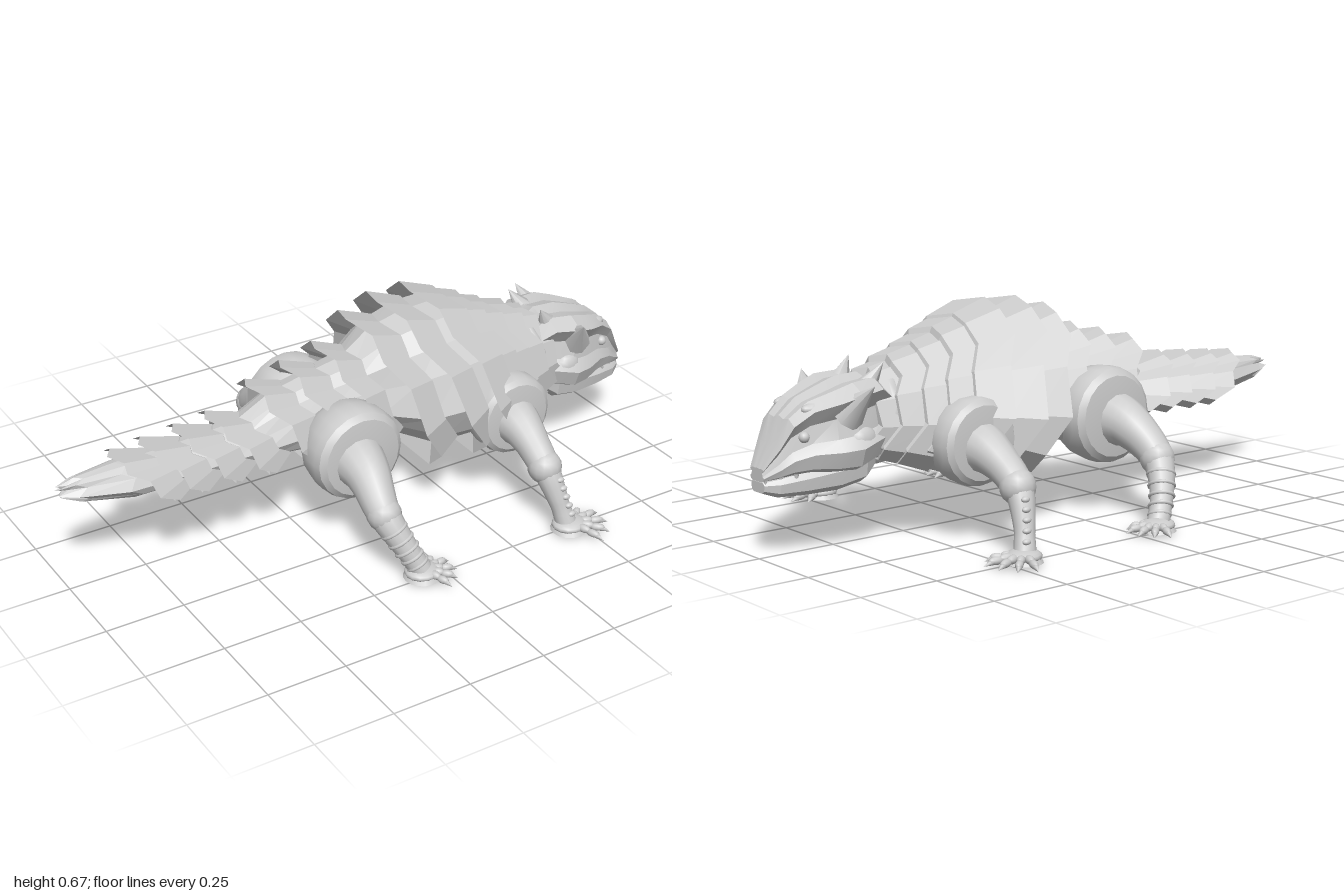
import * as THREE from 'three';
import { mergeVertices, mergeGeometries, toCreasedNormals } from 'three/addons/utils/BufferGeometryUtils.js';

const V = (x, y, z) => new THREE.Vector3(x, y, z);

// Half outlines from top centre to the bottom: [height fraction, width fraction, jag along x]
const PLATE = [[1, 0, -0.012], [0.96, 0.36, 0.012], [0.83, 0.6, -0.016], [0.66, 0.8, 0.014],
  [0.36, 1, -0.02], [0.13, 0.88, 0.012], [0, 0.64, -0.012]];
const SKULL = [[1, 0], [0.95, 0.3], [0.98, 0.62], [0.86, 0.98], [0.66, 0.74], [0.42, 0.82], [0.28, 1], [0.08, 0.88], [0, 0.6]];
const JAW = [[1, 0], [1, 0.8], [0.75, 1], [0.25, 0.95], [0, 0.65]];

// Closed slanted cross-section, scaled by k about its centre and moved by dx
function section([xt, yt, xb, yb, w], outline, k = 1, dx = 0) {
  const point = ([h, s, jag = 0], side) => {
    const f = 0.5 + (h - 0.5) * k;
    return V(xb + (xt - xb) * f + dx + jag * k, yb + (yt - yb) * f, side * s * w * k);
  };
  return [
    ...outline.map(o => point(o, 1)),
    ...outline.slice(1).reverse().map(o => point(o, -1)),
  ];
}

// Skin a row of cross-sections running toward +x and close both ends
function loft(rings, crease = 0) {
  const n = rings[0].length, pos = [];
  const tri = (...ps) => ps.forEach(p => pos.push(p.x, p.y, p.z));
  const centre = r => r.reduce((a, p) => a.add(p), V(0, 0, 0)).divideScalar(n);
  const first = rings[0], last = rings[rings.length - 1];
  const c0 = centre(first), c1 = centre(last);
  for (let j = 0; j < n; j++) {
    const q = (j + 1) % n;
    for (let i = 0; i + 1 < rings.length; i++) {
      const a = rings[i], b = rings[i + 1];
      tri(a[j], a[q], b[j]);
      tri(a[q], b[q], b[j]);
    }
    tri(c0, first[q], first[j]);
    tri(c1, last[j], last[q]);
  }
  const g = new THREE.BufferGeometry();
  g.setAttribute('position', new THREE.Float32BufferAttribute(pos, 3));
  g.computeVertexNormals();
  return crease ? toCreasedNormals(g, crease) : g;
}

// Smooth tube through points with a changing radius
function limb(points, radii) {
  const curve = new THREE.CatmullRomCurve3(points), steps = 24, sides = 14;
  const g = new THREE.TubeGeometry(curve, steps, 1, sides);
  const p = g.attributes.position, v = V(0, 0, 0);
  for (let i = 0; i <= steps; i++) {
    const c = curve.getPointAt(i / steps);
    const t = i / steps * (radii.length - 1), k = Math.min(Math.floor(t), radii.length - 2);
    const r = THREE.MathUtils.lerp(radii[k], radii[k + 1], t - k);
    for (let j = 0; j <= sides; j++) {
      const id = i * (sides + 1) + j;
      v.fromBufferAttribute(p, id).sub(c).multiplyScalar(r).add(c);
      p.setXYZ(id, v.x, v.y, v.z);
    }
  }
  g.deleteAttribute('normal');
  g.deleteAttribute('uv');
  const m = mergeVertices(g, 1e-5);
  m.computeVertexNormals();
  return m;
}

const ball = (c, rx, ry = rx, rz = rx) =>
  new THREE.SphereGeometry(1, 14, 10).scale(rx, ry, rz).translate(c.x, c.y, c.z);

// Cone from a base point to a tip
function spike(from, to, r, sides = 8) {
  const d = to.clone().sub(from), len = d.length();
  const q = new THREE.Quaternion().setFromUnitVectors(V(0, 1, 0), d.normalize());
  return new THREE.ConeGeometry(r, len, sides).translate(0, len / 2, 0).applyQuaternion(q).translate(from.x, from.y, from.z);
}

// Torus around a limb direction
function band(c, dir, r, tube) {
  const q = new THREE.Quaternion().setFromUnitVectors(V(0, 0, 1), dir.clone().normalize());
  return new THREE.TorusGeometry(r, tube, 8, 16).applyQuaternion(q).translate(c.x, c.y, c.z);
}

export function createModel() {
  const model = new THREE.Group();
  const hide = new THREE.MeshStandardMaterial({ color: 0xcccccc });
  hide.name = 'pale grey';
  const add = (name, geometry, parent = model) => {
    const m = new THREE.Mesh(geometry, hide);
    m.name = name;
    parent.add(m);
  };

  // Armour plates, tail to neck: top x, top y, bottom x, bottom y, half width
  const plates = [
    [-0.84, 0.41, -0.67, 0.25, 0.135], [-0.74, 0.42, -0.58, 0.25, 0.14],
    [-0.63, 0.43, -0.47, 0.25, 0.145], [-0.52, 0.44, -0.36, 0.25, 0.16],
    [-0.38, 0.51, -0.22, 0.24, 0.17], [-0.26, 0.54, -0.11, 0.24, 0.18],
    [-0.14, 0.57, 0.01, 0.23, 0.21], [-0.03, 0.64, 0.165, 0.16, 0.28],
    [0.08, 0.67, 0.31, 0.17, 0.325], [0.20, 0.675, 0.42, 0.19, 0.315],
    [0.28, 0.64, 0.48, 0.2, 0.27], [0.36, 0.60, 0.53, 0.21, 0.235],
    [0.45, 0.565, 0.58, 0.23, 0.195], [0.52, 0.53, 0.62, 0.25, 0.165],
  ];
  const armour = new THREE.Group();
  armour.name = 'armour';
  model.add(armour);
  plates.forEach((p, i) => {
    const k = i < 4 ? 0.56 : i < 7 ? 0.66 : 0.74;
    add('armourPlate', loft([
      section(p, PLATE, k, 0.06), section(p, PLATE), section(p, PLATE, k + 0.1, 0.1),
    ]), armour);
  });

  // Inner body running from the tail tip to the neck
  add('body', loft([
    section([-1, 0.36, -0.995, 0.325, 0.018], PLATE),
    section([-0.95, 0.375, -0.94, 0.305, 0.043], PLATE),
    section([-0.82, 0.385, -0.78, 0.28, 0.075], PLATE),
    ...plates.slice(1).map((p, i) => section(p, PLATE, i < 3 ? 0.6 : i < 6 ? 0.7 : 0.8, 0.06)),
    section([0.68, 0.45, 0.7, 0.27, 0.1], PLATE),
  ]));
  [[0.575, 0.13], [0.615, 0.12]].forEach(([x, r]) =>
    add('neckCollar', band(V(x, 0.37, 0), V(1, 0.25, 0), r, 0.022)));

  // Shoulder and hip bowls: flat rounded rim outside, dome inside
  for (const [name, x, y, r, out, inner] of [['shoulder', 0.41, 0.3, 0.132, 0.285, 0.1], ['hip', -0.13, 0.305, 0.15, 0.25, 0.03]])
    for (const s of [1, -1]) {
      const d = out - inner;
      const pts = [[0, 0], [0.5, 0.06], [0.8, 0.22], [0.95, 0.42], [1, 0.62], [1, 0.8], [0.96, 0.9], [0.84, 0.97], [0.5, 1], [0, 1]]
        .map(([a, b]) => new THREE.Vector2(a * r, inner + b * d));
      const g = new THREE.LatheGeometry(pts, 20).rotateX(s * Math.PI / 2).translate(x, y, 0);
      add(name, toCreasedNormals(g, 0.5));
    }

  // Limbs: path, radii, foot centre, toe length
  const limbs = [
    { name: 'frontLeg', path: [[0.41, 0.29, 0.22], [0.41, 0.275, 0.31], [0.41, 0.2, 0.43], [0.425, 0.12, 0.475], [0.445, 0.03, 0.505]],
      radii: [0.09, 0.075, 0.062, 0.053, 0.049, 0.041, 0.035, 0.03, 0.033], foot: [0.455, 0.51], toe: 0.128, turn: 0.3 },
    { name: 'hindLeg', path: [[-0.14, 0.3, 0.18], [-0.145, 0.28, 0.29], [-0.155, 0.2, 0.4], [-0.12, 0.11, 0.46], [-0.08, 0.03, 0.49]],
      radii: [0.1, 0.083, 0.07, 0.06, 0.053, 0.045, 0.039, 0.034, 0.035], foot: [-0.075, 0.49], toe: 0.11, turn: 0.28 },
  ];
  for (const l of limbs) for (const s of [1, -1]) {
    const leg = new THREE.Group();
    leg.name = (s > 0 ? 'near ' : 'far ') + l.name;
    model.add(leg);
    const pts = l.path.map(([x, y, z]) => V(x, y, z * s));
    add('limb', limb(pts, l.radii), leg);
    add('joint', ball(pts[2], 0.054), leg);
    const low = pts[4].clone().sub(pts[2]);
    // Shin bands behind, knobbly ridge on the forearm
    for (let i = 0; i < 5; i++) {
      const t = 0.25 + i * 0.16;
      const c = new THREE.CatmullRomCurve3(pts).getPoint(0.5 + t * 0.5);
      if (l.name === 'hindLeg') add('shinBand', band(c, low, 0.043 - t * 0.013, 0.006), leg);
      else add('forearmKnob', ball(c.add(V(0.012, 0.014, s * (0.034 - t * 0.012))), 0.014, 0.009, 0.01), leg);
    }
    // Foot pad and five clawed toes
    const [fx, fz] = l.foot;
    add('footPad', new THREE.CylinderGeometry(0.045, 0.058, 0.02, 16).translate(fx, 0.014, fz * s), leg);
    add('foot', ball(V(fx, 0.022, fz * s), 0.056, 0.021, 0.052), leg);
    for (let i = 0; i < 5; i++) {
      const a = l.turn + (i - 2) * 0.46, len = l.toe * (i === 0 ? 0.85 : 1);
      const at = (f, y) => V(fx + Math.cos(a) * len * f, y, (fz + Math.sin(a) * len * f) * s);
      const pad = (f, y, r) => new THREE.SphereGeometry(1, 10, 8).scale(len * 0.19, r, r)
        .rotateY(-a * s).translate(...at(f, y).toArray());
      add('toe', mergeGeometries([pad(0.42, 0.024, 0.013), pad(0.68, 0.02, 0.012),
        spike(at(0.78, 0.018), at(1, 0.008), 0.01)]), leg);
    }
  }

  // Skull and jaw
  const head = new THREE.Group();
  head.name = 'head';
  model.add(head);
  const upright = (outline, rows) => loft(rows.map(([x, yt, yb, w]) => section([x, yt, x, yb, w], outline)), 0.35);
  add('skull', upright(SKULL, [
    [0.6, 0.45, 0.28, 0.11], [0.66, 0.5, 0.26, 0.14], [0.74, 0.495, 0.235, 0.16], [0.8, 0.475, 0.235, 0.142],
    [0.87, 0.45, 0.24, 0.105], [0.925, 0.405, 0.238, 0.083], [0.96, 0.335, 0.232, 0.064], [1, 0.265, 0.226, 0.036],
  ]), head);
  add('jaw', upright(JAW, [
    [0.66, 0.29, 0.23, 0.095], [0.7, 0.28, 0.195, 0.112], [0.78, 0.262, 0.18, 0.105],
    [0.88, 0.246, 0.178, 0.085], [0.96, 0.232, 0.18, 0.062], [0.998, 0.224, 0.193, 0.034],
  ]), head);
  for (const s of [1, -1]) {
    add('sideHorn', spike(V(0.76, 0.4, 0.095 * s), V(0.725, 0.49, 0.188 * s), 0.055), head);
    add('rearHorn', spike(V(0.69, 0.44, 0.06 * s), V(0.625, 0.535, 0.088 * s), 0.045), head);
    add('brow', ball(V(0.84, 0.425, 0.07 * s), 0.055, 0.02, 0.025), head);
    add('cheek', ball(V(0.72, 0.32, 0.115 * s), 0.05, 0.045, 0.03), head);
    add('eye', ball(V(0.89, 0.348, 0.075 * s), 0.016), head);
    // A few fangs around the snout
    for (let i = 0; i < 3; i++) {
      const x = 0.99 - i * 0.04, z = (0.03 + i * 0.016) * s;
      add('fang', spike(V(x, 0.242, z), V(x + 0.004, 0.212, z * 1.08), 0.008, 6), head);
    }
  }
  return model;
}
